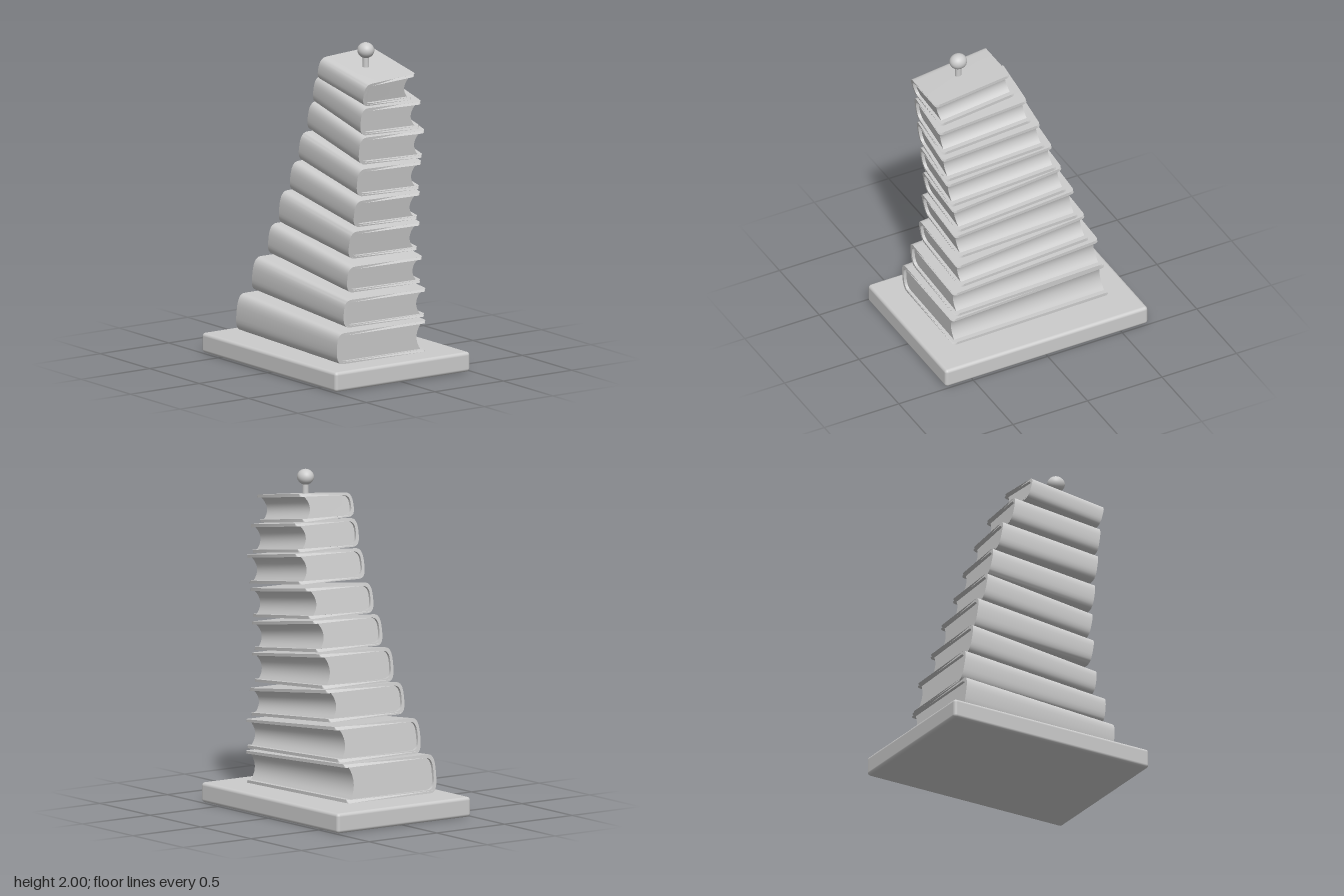
import * as THREE from 'three';
import { toCreasedNormals } from 'three/addons/utils/BufferGeometryUtils.js';
import { RoundedBoxGeometry } from 'three/addons/geometries/RoundedBoxGeometry.js';

const material = new THREE.MeshStandardMaterial({ color: 0xcccccc, roughness: 0.8 });
const COVER = 0.018; // cover thickness
const BULGE = 0.055; // depth of the rounded spine
const CORNER = 0.025; // rounding of the cover corners

// Spine corners (upper left, lower left, upper right, lower right),
// spine z at its left and right end, depth, extra rise of the top to the back
const BOOKS = [
  { ul: [-0.50, 0.37], ll: [-0.53, 0.14], ur: [0.52, 0.31], lr: [0.51, 0.12], z: [0.355, 0.365], depth: 0.65 },
  { ul: [-0.455, 0.59], ll: [-0.49, 0.38], ur: [0.50, 0.50], lr: [0.487, 0.33], z: [0.27, 0.30], depth: 0.59 },
  { ul: [-0.37, 0.80], ll: [-0.40, 0.61], ur: [0.47, 0.69], lr: [0.45, 0.53], z: [0.216, 0.25], depth: 0.535 },
  { ul: [-0.31, 1.005], ll: [-0.34, 0.80], ur: [0.465, 0.90], lr: [0.434, 0.73], z: [0.18, 0.23], depth: 0.495 },
  { ul: [-0.23, 1.195], ll: [-0.265, 1.01], ur: [0.475, 1.085], lr: [0.444, 0.92], z: [0.155, 0.20], depth: 0.46 },
  { ul: [-0.175, 1.38], ll: [-0.21, 1.20], ur: [0.495, 1.28], lr: [0.47, 1.11], z: [0.13, 0.195], depth: 0.44 },
  { ul: [-0.10, 1.577], ll: [-0.137, 1.397], ur: [0.515, 1.476], lr: [0.49, 1.307], z: [0.12, 0.195], depth: 0.44 },
  { ul: [-0.026, 1.746], ll: [-0.058, 1.577], ur: [0.53, 1.656], lr: [0.508, 1.487], z: [0.135, 0.195], depth: 0.41 },
  { ul: [0.074, 1.905], ll: [0.037, 1.74], ur: [0.56, 1.83], lr: [0.524, 1.667], z: [0.17, 0.19], depth: 0.36, rise: 0.025 },
];

// Rounded spine line from top to bottom, inset by t
function spineCurve(h, t) {
  const points = [];
  for (let i = 0; i <= 16; i++) {
    const a = Math.PI * (0.5 - i / 16);
    const c = Math.pow(Math.max(0, Math.cos(a)), 0.7);
    const s = Math.sign(Math.sin(a)) * Math.pow(Math.abs(Math.sin(a)), 0.7);
    points.push(new THREE.Vector2(t + BULGE * (1 - c), h / 2 + (h / 2 - t) * s));
  }
  return points;
}

// Back edge points of one board, dense enough for a rounded corner
function boardEdge(y, depth) {
  return [1, 0.6, 0.3, 0.1, 0].map((k) => new THREE.Vector2(depth - k * CORNER, y));
}

// C-shaped section of the two boards and the spine
function coverShape(h, depth) {
  return new THREE.Shape([
    ...boardEdge(h, depth).reverse(), ...spineCurve(h, 0), ...boardEdge(0, depth),
    ...boardEdge(COVER, depth).reverse(), ...spineCurve(h, COVER).reverse(), ...boardEdge(h - COVER, depth),
  ]);
}

// Page block with a hollow fore-edge
function pageShape(h, depth) {
  const back = [];
  for (let i = 0; i <= 10; i++) {
    const s = i / 5 - 1;
    back.push(new THREE.Vector2(depth - 0.03 - 0.03 * (1 - s * s), h / 2 + s * (h / 2 - COVER)));
  }
  return new THREE.Shape([...spineCurve(h, COVER), ...back]);
}

// Extrudes a section along the book and fits it to the leaning spine corners
function fitToBook(shape, book, h, inset, rounded) {
  const { ul, ll, ur, lr, z, depth, rise = 0 } = book;
  const length = ur[0] - ul[0];
  const slope = (z[1] - z[0]) / length;
  const geometry = new THREE.ExtrudeGeometry(shape, { depth: 1, bevelEnabled: false, steps: 1 });
  const p = geometry.attributes.position;
  const mix = THREE.MathUtils.lerp;
  for (let i = 0; i < p.count; i++) {
    const w = p.getX(i);
    const v = p.getY(i) / h;
    let pull = inset;
    if (rounded) {
      const s = Math.max(0, w - (depth - CORNER));
      pull += CORNER - Math.sqrt(Math.max(0, CORNER * CORNER - s * s));
    }
    const u = mix(pull / length, 1 - pull / length, p.getZ(i));
    const x = mix(mix(ll[0], lr[0], u), mix(ul[0], ur[0], u), v);
    const y = mix(mix(ll[1], lr[1], u), mix(ul[1], ur[1], u), v);
    p.setXYZ(i, x + w * slope, y - rise * v * (1 - w / depth), mix(z[0], z[1], u) - w);
  }
  return toCreasedNormals(geometry, 0.6);
}

function addMesh(parent, name, geometry) {
  const mesh = new THREE.Mesh(geometry, material);
  mesh.name = name;
  parent.add(mesh);
  return mesh;
}

function makeBook(book) {
  const group = new THREE.Group();
  const h = (book.ul[1] - book.ll[1] + book.ur[1] - book.lr[1]) / 2;
  addMesh(group, 'cover', fitToBook(coverShape(h, book.depth), book, h, 0, true));
  addMesh(group, 'pages', fitToBook(pageShape(h, book.depth), book, h, 0.018, false));
  return group;
}

export function createModel() {
  const model = new THREE.Group();
  model.name = 'bookStack';

  // Base plate
  addMesh(model, 'base', new RoundedBoxGeometry(1.36, 0.12, 0.985, 4, 0.02)).position.y = 0.06;

  // Leaning stack of books
  BOOKS.forEach((book, i) => {
    const group = makeBook(book);
    group.name = `book${i + 1}`;
    model.add(group);
  });

  // Knob on the top book
  const knob = new THREE.Group();
  knob.name = 'knob';
  knob.position.set(0.325, 0, 0.017);
  addMesh(knob, 'knobStem', new THREE.CylinderGeometry(0.018, 0.02, 0.1, 24)).position.y = 1.875;
  const ball = addMesh(knob, 'knobBall', new THREE.SphereGeometry(1, 32, 20));
  ball.scale.set(0.054, 0.047, 0.049);
  ball.position.y = 1.953;
  model.add(knob);

  return model;
}
